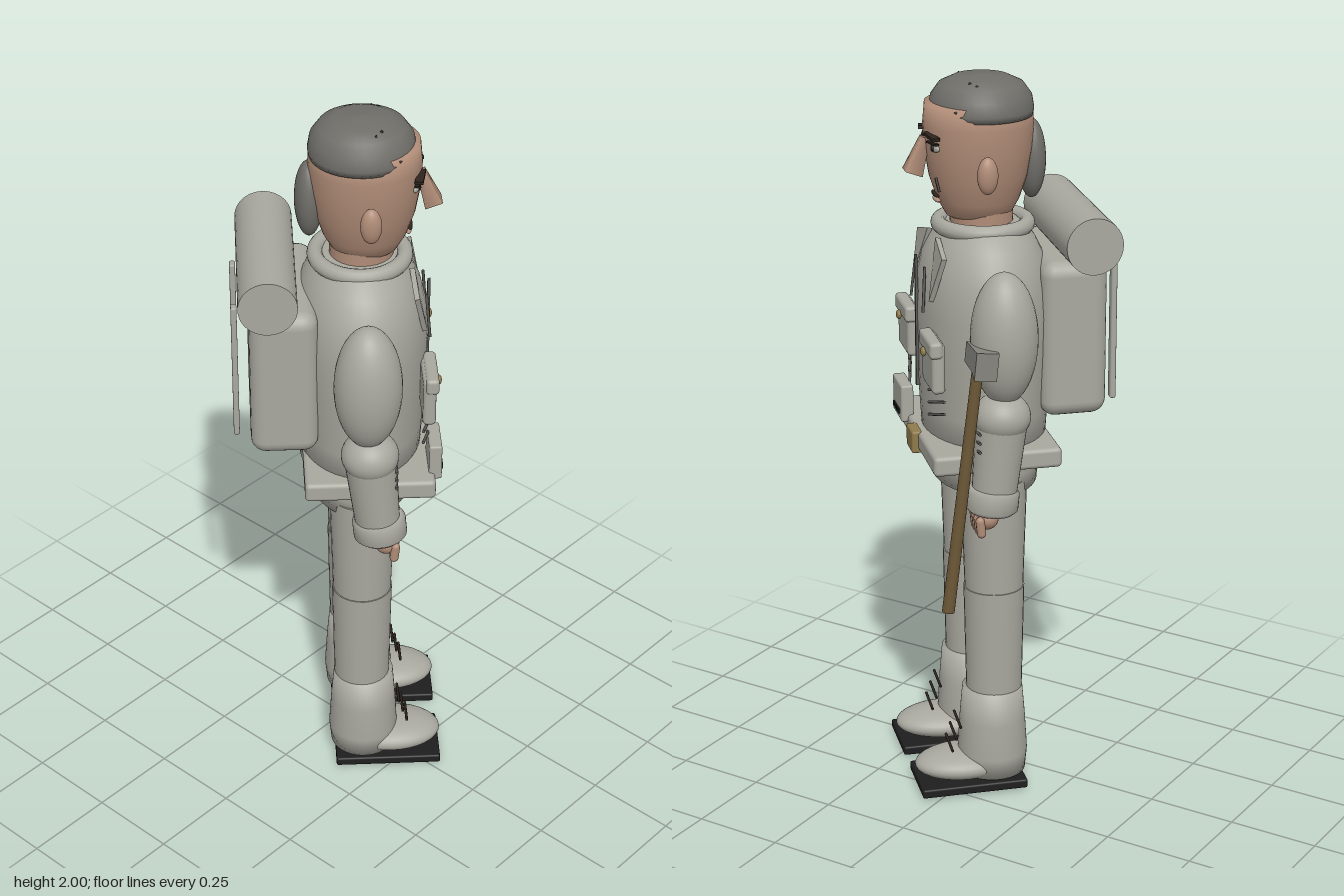
import * as THREE from 'three';
import { RoundedBoxGeometry } from 'three/addons/geometries/RoundedBoxGeometry.js';

const paint = (name, color) => Object.assign(new THREE.MeshStandardMaterial({ color }), { name });
const V = (p) => new THREE.Vector3(...p);

export function createModel() {
  const cloth = paint('cloth grey', 0xa9a89f);
  const hair = paint('hair grey', 0x6f6e69);
  const skin = paint('skin', 0xb08c77);
  const black = paint('sole black', 0x1e1e1e);
  const crease = paint('crease grey', 0x5a5955);
  const dark = paint('dark brown', 0x2c231d);
  const wood = paint('wood', 0x6b5736);
  const brass = paint('brass', 0x8f7a4c);
  const steel = paint('steel', 0x85847e);

  const model = new THREE.Group();
  model.name = 'soldier';
  // the figure stands turned three eighths of a turn
  const body = new THREE.Group();
  body.name = 'figure';
  body.rotation.y = Math.PI * 0.75;
  body.position.set(0.007, 0, 0.007);
  model.add(body);

  const add = (name, geo, mat, pos = [0, 0, 0], rot = [0, 0, 0], scale = [1, 1, 1]) => {
    const m = new THREE.Mesh(geo, mat);
    m.name = name;
    m.position.set(...pos);
    m.rotation.set(...rot);
    m.scale.set(...scale);
    body.add(m);
    return m;
  };
  const ball = (name, mat, pos, radii, rot) =>
    add(name, new THREE.SphereGeometry(1, 32, 20), mat, pos, rot, radii);
  const box = (name, mat, pos, size, rot) => add(name, new THREE.BoxGeometry(...size), mat, pos, rot);
  const softBox = (name, mat, pos, size, r, rot) =>
    add(name, new RoundedBoxGeometry(...size, 3, r), mat, pos, rot);
  const lathe = (name, mat, pts, pos, scale, rot) =>
    add(name, new THREE.LatheGeometry(pts.map((p) => new THREE.Vector2(...p)), 40), mat, pos, rot, scale);
  // straight round bar between two points
  const rod = (name, mat, a, b, r, r2 = r) => {
    const d = V(b).sub(V(a));
    const m = add(name, new THREE.CylinderGeometry(r2, r, d.length(), r > 0.01 ? 28 : 8), mat);
    m.position.copy(V(a).add(V(b)).multiplyScalar(0.5));
    m.quaternion.setFromUnitVectors(new THREE.Vector3(0, 1, 0), d.normalize());
    return m;
  };

  // jacket, skirt, collar and belt
  lathe('jacket', cloth, [[0, 0.98], [0.225, 0.98], [0.235, 1.1], [0.246, 1.25], [0.25, 1.37], [0.242, 1.45],
    [0.222, 1.51], [0.19, 1.56], [0.15, 1.595], [0.13, 1.605], [0, 1.605]], [0, 0, 0.043], [1, 1, 0.73]);
  lathe('jacketSkirt', cloth, [[0, 0.888], [0.215, 0.888], [0.222, 0.94], [0.222, 0.99]], [0, 0, 0.043], [1, 1, 0.66]);
  add('collar', new THREE.TorusGeometry(0.125, 0.022, 14, 40), cloth, [0, 1.597, 0.043], [Math.PI / 2, 0, 0], [1, 0.95, 1]);
  rod('neck', skin, [0, 1.56, 0.045], [0, 1.68, 0.05], 0.085);
  softBox('belt', cloth, [0.002, 1.003, 0.06], [0.515, 0.055, 0.35], 0.012);
  softBox('beltBuckle', brass, [0.01, 1.0, 0.238], [0.08, 0.062, 0.03], 0.006);

  // jacket front
  box('placket', crease, [0, 1.33, 0.226], [0.01, 0.36, 0.008]);
  for (const s of [-1, 1]) {
    const lapel = new THREE.Shape([[0.05, 1.575], [0.16, 1.545], [0.11, 1.415]].map(([x, y]) => new THREE.Vector2(s * x, y - 1.5)));
    add('lapel', new THREE.ExtrudeGeometry(lapel, { depth: 0.014, bevelEnabled: false }), cloth, [0, 1.5, 0.185], [-0.2, 0, 0]);
    rod('lapelSeam', crease, [s * 0.06, 1.5, 0.215], [s * 0.08, 1.38, 0.225], 0.004);
    softBox('chestPocket', cloth, [s * 0.163, 1.268, 0.215], [0.14, 0.14, 0.035], 0.012);
    softBox('pocketFlap', cloth, [s * 0.163, 1.32, 0.222], [0.15, 0.045, 0.035], 0.01);
    ball('pocketButton', brass, [s * 0.165, 1.3, 0.243], [0.013, 0.013, 0.008]);
    for (let i = 0; i < 3; i++) {
      const y = 1.21 - i * 0.035;
      rod('jacketCrease', crease, [s * 0.13, y - 0.03, 0.222], [s * 0.225, y, 0.2], 0.004);
      rod('sleeveCrease', crease, [s * 0.235, 1.1 - i * 0.025, 0.125], [s * 0.32, 1.11 - i * 0.025, 0.125], 0.004);
    }
  }
  // belt radio with its row of holes
  softBox('radio', cloth, [-0.152, 1.062, 0.236], [0.12, 0.105, 0.035], 0.006);
  for (let i = 0; i < 4; i++)
    box('radioHole', black, [-0.184 + i * 0.021, 1.035, 0.255], [0.012, 0.014, 0.006]);

  // pack, bedroll and straps
  softBox('pack', cloth, [0, 1.31, -0.165], [0.41, 0.43, 0.18], 0.04);
  add('bedroll', new THREE.CylinderGeometry(0.077, 0.077, 0.474, 40), cloth, [0, 1.576, -0.205], [0, 0, Math.PI / 2]);
  for (const s of [-1, 1]) softBox('packStrap', cloth, [s * 0.108, 1.31, -0.292], [0.028, 0.4, 0.016], 0.005);

  // arms
  for (const s of [-1, 1]) {
    const x = s * 0.277;
    ball('upperArm', cloth, [x, 1.357, 0.05], [0.09, 0.18, 0.09]);
    ball('elbow', cloth, [x, 1.142, 0.056], [0.077, 0.066, 0.077]);
    rod('forearm', cloth, [x, 0.92, 0.078], [x, 1.14, 0.056], 0.06, 0.07);
    lathe('cuff', cloth, [[0, -0.034], [0.06, -0.034], [0.072, -0.022], [0.072, 0.022], [0.062, 0.034], [0, 0.034]],
      [x, 0.91, 0.083], [1, 1, 1], [-0.1, 0, 0]);
    ball('palm', skin, [x, 0.862, 0.1], [0.046, 0.034, 0.034]);
    for (let i = 0; i < 4; i++)
      add('finger', new THREE.CapsuleGeometry(0.0125, 0.035, 4, 10), skin, [x - 0.036 + i * 0.024, 0.845, 0.122], [0.1, 0, 0]);
    add('thumb', new THREE.CapsuleGeometry(0.013, 0.03, 4, 10), skin, [x - s * 0.045, 0.855, 0.1], [0, 0, s * 0.3]);
  }

  // legs and boots
  for (const s of [-1, 1]) {
    const x = s * 0.135;
    rod('lowerLeg', cloth, [x, 0.26, 0.045], [x, 0.6, 0.045], 0.077, 0.084);
    rod('thigh', cloth, [x, 0.565, 0.045], [x, 0.92, 0.045], 0.08, 0.091);
    lathe('bootShaft', cloth, [[0, 0.04], [0.092, 0.04], [0.098, 0.1], [0.092, 0.2], [0.084, 0.295], [0, 0.302]], [x, 0, 0.05]);
    ball('bootFoot', cloth, [x, 0.067, 0.13], [0.092, 0.043, 0.142]);
    softBox('bootSole', black, [x, 0.019, 0.119], [0.19, 0.026, 0.3], 0.006);
    add('soleStud', new THREE.CylinderGeometry(0.012, 0.012, 0.012, 6), crease, [x, 0.006, 0.12]);
    for (let i = 0; i < 3; i++)
      rod('bootLace', dark, [x - 0.045, 0.2 - i * 0.035, 0.15 + i * 0.012], [x + 0.045, 0.19 - i * 0.035, 0.15 + i * 0.012], 0.004);
  }

  // head, hair and ears
  lathe('head', skin, [[0, 1.608], [0.055, 1.61], [0.08, 1.625], [0.1, 1.665], [0.12, 1.73], [0.131, 1.8],
    [0.135, 1.87], [0.13, 1.93], [0, 1.96]], [0, 0, 0.055], [1, 1, 1.1]);
  lathe('hairCap', hair, [[0, 1.893], [0.136, 1.893], [0.139, 1.91], [0.133, 1.945], [0.112, 1.975], [0.075, 1.993], [0, 2]],
    [0, 0, 0.047], [1, 1, 1.01]);
  ball('backHair', hair, [0, 1.765, -0.09], [0.055, 0.108, 0.038]);
  for (const s of [-1, 1]) {
    ball('ear', skin, [s * 0.146, 1.76, 0.063], [0.022, 0.05, 0.028]);
    rod('hairStrand', dark, [s * 0.085, 1.985, 0.075], [s * 0.105, 1.92, 0.14], 0.004);
    rod('hairStrand', dark, [s * 0.068, 1.99, 0.09], [s * 0.088, 1.925, 0.15], 0.004);
    // eyes and brows
    ball('eye', cloth, [s * 0.057, 1.82, 0.184], [0.022, 0.011, 0.008], [0, s * 0.3, 0]);
    ball('pupil', black, [s * 0.057, 1.82, 0.191], [0.009, 0.009, 0.005]);
    box('eyelid', dark, [s * 0.057, 1.833, 0.19], [0.048, 0.005, 0.012], [0, s * 0.3, 0]);
    box('eyebrow', dark, [s * 0.06, 1.852, 0.193], [0.058, 0.009, 0.022], [0, s * 0.2, -s * 0.12]);
  }
  // nose, mouth and scar
  add('nose', new THREE.CylinderGeometry(0.017, 0.034, 0.1, 4).rotateY(Math.PI / 4), skin, [0, 1.79, 0.216], [-0.35, 0, 0]);
  ball('upperLip', dark, [0, 1.682, 0.172], [0.036, 0.006, 0.008]);
  ball('lowerLip', skin, [0, 1.668, 0.168], [0.03, 0.007, 0.01]);
  rod('scar', dark, [0.075, 1.745, 0.186], [0.09, 1.71, 0.18], 0.004);

  // axe held at the left side
  rod('axeHandle', wood, [0.312, 0.61, 0.212], [0.315, 1.33, 0.125], 0.017, 0.015);
  const blade = new THREE.Shape([[-0.06, -0.025], [0.03, -0.025], [0.062, -0.04], [0.062, 0.036], [-0.06, 0.03]]
    .map((p) => new THREE.Vector2(...p)));
  add('axeHead', new THREE.ExtrudeGeometry(blade, { depth: 0.06, bevelEnabled: false }), steel, [0.317, 1.315, 0.09], [-0.1, 0, 0]);

  return model;
}
